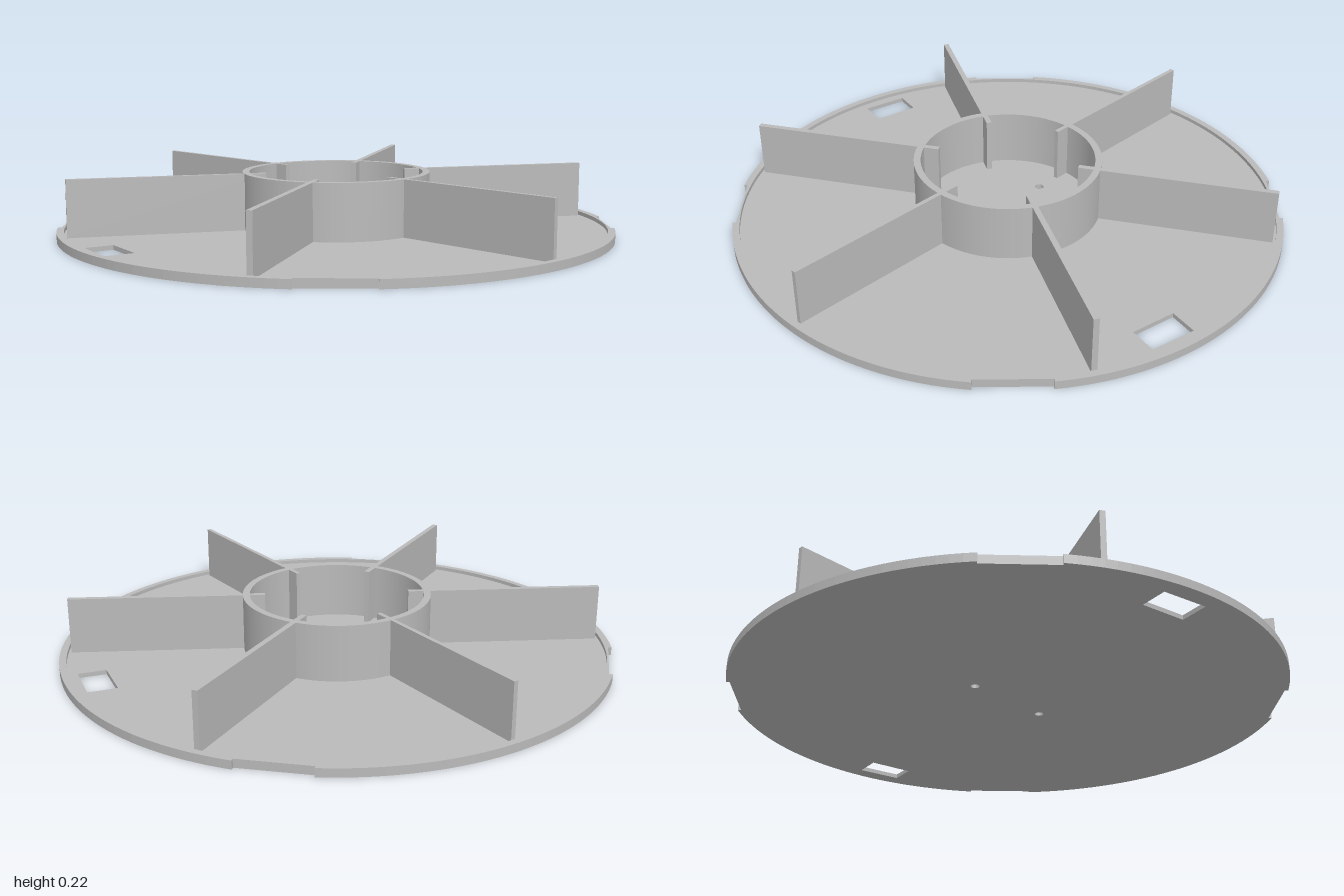
import * as THREE from 'three';

const FLOOR = 0.016, RIM = 0.03, TOP = 0.22;

// Extrude a plan drawn with (x, -z) upwards from y0 to y1
function slab(shape, y0, y1) {
  const geo = new THREE.ExtrudeGeometry(shape, { depth: y1 - y0, bevelEnabled: false, curveSegments: 96 });
  geo.rotateX(-Math.PI / 2);
  geo.translate(0, y0, 0);
  return geo;
}

function circlePath(x, y, r) {
  return new THREE.Path().absarc(x, y, r, 0, Math.PI * 2, true);
}

// Unit disc with a shallow flat cut into the edge on each diagonal
function discOutline() {
  const half = 0.125, flat = 0.98, a = Math.asin(half), steps = 32;
  const pts = [];
  for (let q = 0; q < 4; q++) {
    const mid = Math.PI / 4 + q * Math.PI / 2;
    const c = Math.cos(mid), s = Math.sin(mid);
    for (const t of [-half, half]) pts.push(new THREE.Vector2(flat * c - t * s, flat * s + t * c));
    for (let i = 0; i <= steps; i++) {
      const th = mid + a + (Math.PI / 2 - 2 * a) * i / steps;
      pts.push(new THREE.Vector2(Math.cos(th), Math.sin(th)));
    }
  }
  return new THREE.Shape(pts);
}

export function createModel() {
  const group = new THREE.Group();
  const grey = new THREE.MeshStandardMaterial({ color: 0xbababa });
  grey.name = 'light grey';
  const add = (name, geo) => {
    const mesh = new THREE.Mesh(geo, grey);
    mesh.name = name;
    group.add(mesh);
    return mesh;
  };

  // Base plate with two slanted windows and two pin holes
  const plate = discOutline();
  const corners = [[0.834, 0.088], [0.936, 0.113], [0.9, 0.277], [0.802, 0.254]];
  for (const s of [1, -1]) {
    plate.holes.push(new THREE.Path(corners.map(([x, z]) => new THREE.Vector2(s * x, -s * z))));
    plate.holes.push(circlePath(0, s * 0.17, 0.016));
  }
  add('basePlate', slab(plate, 0, FLOOR));

  // Raised lip around the edge
  const lip = discOutline();
  lip.holes.push(circlePath(0, 0, 0.975));
  add('rimLip', slab(lip, FLOOR, RIM));

  // Central hub ring
  const ring = new THREE.Shape().absarc(0, 0, 0.34, 0, Math.PI * 2, false);
  ring.holes.push(circlePath(0, 0, 0.315));
  add('hubRing', slab(ring, FLOOR, TOP));

  // Six radial fins passing through the hub wall
  const inner = 0.26, outer = 0.965;
  for (let i = 0; i < 6; i++) {
    const angle = Math.PI / 6 + i * Math.PI / 3;
    const thick = i % 3 === 1 ? 0.016 : 0.02;
    const geo = new THREE.BoxGeometry(outer - inner, TOP - FLOOR, thick);
    geo.translate((inner + outer) / 2, (TOP + FLOOR) / 2, 0);
    add('fin' + (i + 1), geo).rotation.y = angle;
  }
  return group;
}
